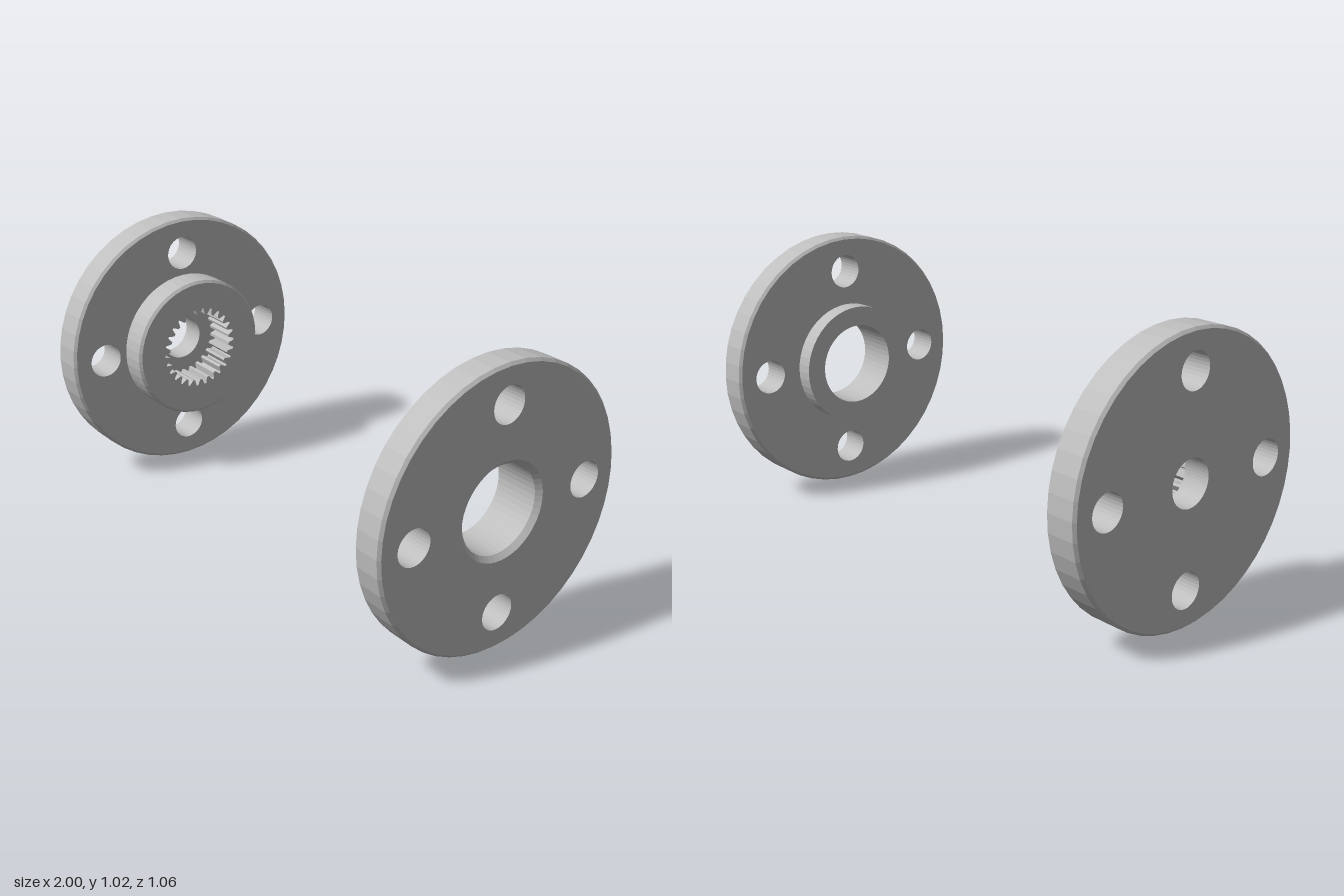
import * as THREE from 'three';

const SEG = 48, R = 0.5125, CH = 0.01, BOLT_R = 0.066, BOLT_DIST = 0.373;
const v = (x, y) => new THREE.Vector2(x, y);

function circle(r, n = SEG, cx = 0, cy = 0) {
  return Array.from({ length: n }, (_, i) => {
    const a = (i / n) * Math.PI * 2;
    return v(cx + r * Math.cos(a), cy + r * Math.sin(a));
  });
}

function plate(outer, holes) {
  const shape = new THREE.Shape(outer);
  holes.forEach(h => shape.holes.push(new THREE.Path(h)));
  return shape;
}

// Faceted surface of revolution about y
function turned(profile, n = SEG) {
  const g = new THREE.LatheGeometry(profile.map(p => v(...p)), n).toNonIndexed();
  g.computeVertexNormals();
  return g;
}

const boltSpots = [0, 1, 2, 3].map(i => {
  const a = (i * Math.PI) / 2;
  return [BOLT_DIST * Math.cos(a), BOLT_DIST * Math.sin(a)];
});

// Flange along +y: outer face at y = 0, hub on the far side
function flange(name, { t, hubR, mouthR, hubAndBore }, material) {
  const group = new THREE.Group();
  group.name = name;
  const add = (part, geometry) => {
    const mesh = new THREE.Mesh(geometry, material);
    mesh.name = part;
    group.add(mesh);
    return mesh;
  };

  add('chamferedRim', turned([[R - CH, 0], [R, CH], [R, t - CH], [R - CH, t]]));
  add('hubAndBore', turned(hubAndBore));

  // Flat faces pierced by the bolt holes
  const bolts = boltSpots.map(([x, y]) => circle(BOLT_R, 32, x, y));
  const face = (r) => new THREE.ShapeGeometry(plate(circle(R - CH), [circle(r), ...bolts]));
  add('outerFace', face(mouthR).rotateX(Math.PI / 2));
  add('hubSideFace', face(hubR).rotateX(-Math.PI / 2).translate(0, t, 0));

  for (const [x, z] of boltSpots) {
    add('boltHole', turned([[BOLT_R, t], [BOLT_R, 0]], 32).translate(x, 0, z));
  }
  return { group, add };
}

// Internal spline outline: trapezoid teeth pointing inward
function splineLoop(rootR, tipR, teeth) {
  const pts = [];
  for (let i = 0; i < teeth; i++) {
    for (const [f, r] of [[0.1, rootR], [0.35, tipR], [0.65, tipR], [0.9, rootR]]) {
      const a = ((i + f - 0.5) / teeth) * Math.PI * 2;
      pts.push(v(r * Math.cos(a), r * Math.sin(a)));
    }
  }
  return pts;
}

export function createModel() {
  const steel = new THREE.MeshStandardMaterial({ color: 0xbfbfbf });
  steel.name = 'grey steel';
  const model = new THREE.Group();
  model.name = 'flangePair';

  // Splined flange: small through hole behind a toothed socket
  const t = 0.128, h = 0.236, floor = 0.1, sleeveR = 0.2;
  const splined = flange('splinedFlange', {
    t, hubR: 0.281, mouthR: 0.086,
    hubAndBore: [[0.281, t], [0.281, h - CH], [0.271, h], [sleeveR, h],
      [sleeveR, floor], [0.086, floor], [0.086, 0]],
  }, steel);
  const sleeve = new THREE.ExtrudeGeometry(
    plate(circle(sleeveR), [splineLoop(0.165, 0.141, 26)]),
    { depth: h - floor, bevelEnabled: false });
  splined.add('splineSleeve', sleeve.rotateX(-Math.PI / 2).translate(0, floor, 0));
  splined.group.rotation.z = -Math.PI / 2;
  splined.group.position.x = -0.992;

  // Plain flange: smooth bore with a chamfered mouth
  const pt = 0.118, ph = 0.185;
  const plain = flange('plainFlange', {
    t: pt, hubR: 0.237, mouthR: 0.178,
    hubAndBore: [[0.237, pt], [0.237, ph], [0.16, ph], [0.16, 0.018], [0.178, 0]],
  }, steel);
  plain.group.rotation.z = Math.PI / 2;
  plain.group.position.x = 0.991;

  // Both share one axis, turned slightly off x
  const axis = new THREE.Group();
  axis.name = 'sharedAxis';
  axis.add(splined.group, plain.group);
  axis.rotation.y = -0.0168;
  axis.position.y = R;
  model.add(axis);
  return model;
}
